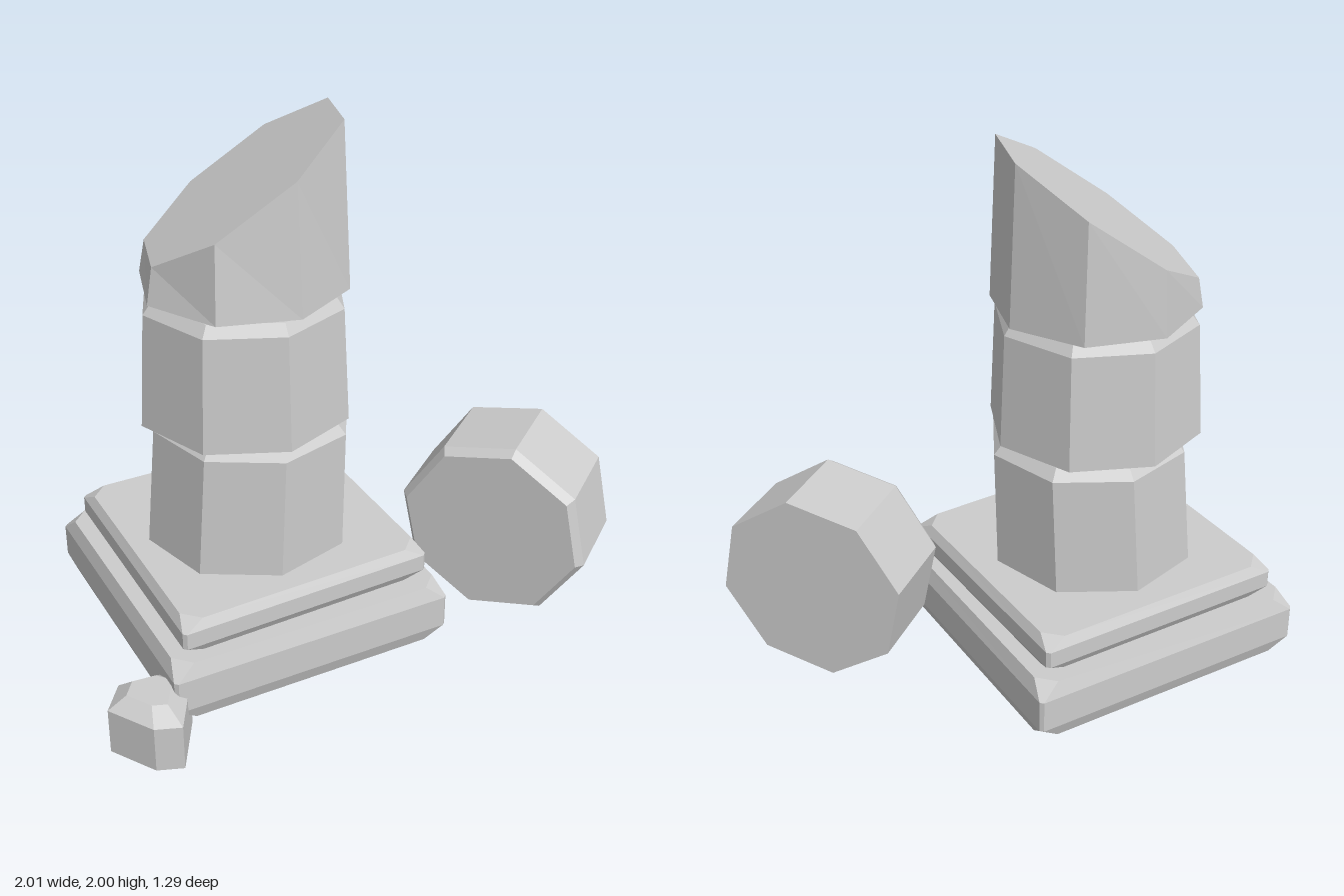
import * as THREE from 'three';

const material = new THREE.MeshStandardMaterial({ color: 0xcccccc, flatShading: true, side: THREE.FrontSide });

// Closed solid skinned over equal-length rings of points, listed bottom to top.
function loft(name, rings) {
  const pos = [];
  const tri = (...pts) => pts.forEach((p) => pos.push(p.x, p.y, p.z));
  const n = rings[0].length;
  const middle = (ring) => ring.reduce((s, p) => s.add(p), new THREE.Vector3()).divideScalar(n);
  const first = rings[0], last = rings[rings.length - 1];
  const low = middle(first), high = middle(last);
  for (let i = 0; i < n; i++) {
    const j = (i + 1) % n;
    for (let r = 0; r + 1 < rings.length; r++) {
      const a = rings[r], b = rings[r + 1];
      tri(a[i], b[i], b[j]);
      tri(a[i], b[j], a[j]);
    }
    tri(low, first[i], first[j]);
    tri(high, last[j], last[i]);
  }
  const geometry = new THREE.BufferGeometry();
  geometry.setAttribute('position', new THREE.Float32BufferAttribute(pos, 3));
  geometry.computeVertexNormals();
  const mesh = new THREE.Mesh(geometry, material);
  mesh.name = name;
  return mesh;
}

// Eight-sided ring, turned by a number of degrees.
function octagon(x, y, z, radius, turn) {
  return Array.from({ length: 8 }, (_, i) => {
    const a = THREE.MathUtils.degToRad(turn + i * 45);
    return new THREE.Vector3(x + radius * Math.cos(a), y, z + radius * Math.sin(a));
  });
}

// Rough square slab with chamfered edges and clipped corners.
function slab(name, corners, y0, y1, bevel) {
  const cx = corners.reduce((s, c) => s + c[0], 0) / 4;
  const cz = corners.reduce((s, c) => s + c[1], 0) / 4;
  const ring = (y, inset, cut) => {
    const pts = corners.map(([x, z]) =>
      new THREE.Vector3(x - Math.sign(x - cx) * inset, y, z - Math.sign(z - cz) * inset));
    return pts.flatMap((p, i) => [pts[(i + 3) % 4], pts[(i + 1) % 4]].map((q) =>
      p.clone().add(q.clone().sub(p).setLength(cut))));
  };
  return loft(name, [
    ring(y0, 0.02, 0.06), ring(y0 + bevel, 0, 0.012),
    ring(y1 - bevel, 0, 0.012), ring(y1, 0.02, 0.06),
  ]);
}

export function createModel() {
  const model = new THREE.Group();
  model.name = 'ruinedColumn';

  // Stepped base
  model.add(
    slab('lowerPlinth', [[0.29, 0.435], [-0.78, 0.425], [-0.78, -0.665], [0.31, -0.645]], 0.07, 0.303, 0.055),
    slab('upperPlinth', [[0.245, 0.355], [-0.72, 0.375], [-0.715, -0.6], [0.25, -0.59]], 0.303, 0.435, 0.035));

  // Standing drums, each slightly turned and shifted
  model.add(
    loft('lowerDrum', [
      octagon(-0.245, 0.43, -0.11, 0.38, 7.5),
      octagon(-0.222, 0.885, -0.103, 0.365, 7.5),
      octagon(-0.222, 0.925, -0.103, 0.33, 7.5),
    ]),
    loft('middleDrum', [
      octagon(-0.25, 0.94, -0.106, 0.388, 1.5),
      octagon(-0.247, 1.36, -0.103, 0.365, 1.5),
      octagon(-0.245, 1.4, -0.103, 0.335, 1.5),
    ]));

  // Broken top drum, cut off by a slanting plane
  const broken = octagon(-0.235, 0, -0.122, 0.347, -5.5);
  broken.forEach((p) => { p.y = 1.95 + 0.673 * p.x + 0.255 * p.z; });
  model.add(loft('brokenTopDrum', [octagon(-0.24, 1.41, -0.11, 0.37, -5.5), broken]));

  // Fallen drum lying on its side
  const fallen = loft('fallenDrum', [
    octagon(0, 0, 0, 0.36, 11),
    octagon(0, 0.32, 0, 0.36, 11),
    octagon(0, 0.353, 0, 0.335, 11),
  ]);
  const along = new THREE.Vector3(-0.793, 0, 0.609).normalize();
  const across = new THREE.Vector3(along.z, 0, -along.x);
  fallen.quaternion.setFromRotationMatrix(
    new THREE.Matrix4().makeBasis(across, along, new THREE.Vector3(0, -1, 0)));
  fallen.position.set(0.79, 0.42, 0.15);
  model.add(fallen);

  // Small rubble stone beside the base
  const outline = [[-0.695, 0.35], [-0.81, 0.55], [-0.9, 0.515], [-1, 0.355], [-0.92, 0.25], [-0.77, 0.265]];
  const stoneRing = (y, scale) => outline.map(([x, z]) =>
    new THREE.Vector3(-0.85 + (x + 0.85) * scale, y, 0.37 + (z - 0.37) * scale));
  model.add(loft('rubbleStone', [stoneRing(0, 1), stoneRing(0.177, 1), stoneRing(0.222, 0.55)]));

  return model;
}
